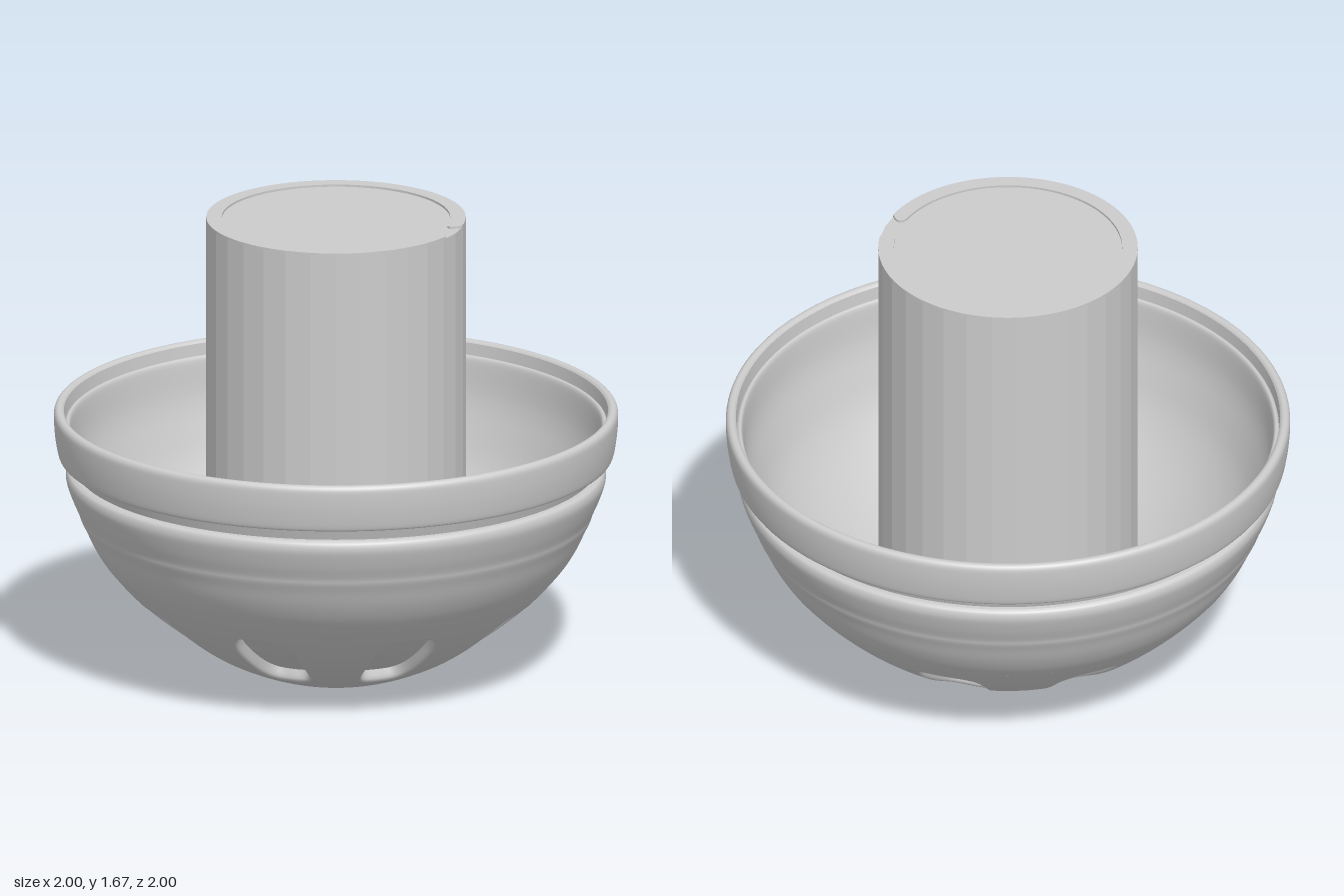
import * as THREE from 'three';

const SEG = 128;   // segments around the turned parts
const SLOTS = 8;   // recesses around the bowl
const R_IN = 0.3, R_OUT = 0.78; // band of the bowl that holds the recesses

const material = new THREE.MeshStandardMaterial({ color: 0xcccccc, roughness: 0.7 });
const faceted = new THREE.MeshStandardMaterial({ color: 0xcccccc, roughness: 0.7, flatShading: true });

// Height and slope of the lower bowl at radius r
const bowlY = r => 0.62 * r * r + 0.1 * r ** 6 - 0.03;
const bowlSlope = r => 1.24 * r + 0.6 * r ** 5;

function add(parent, name, geometry, mat = material) {
  const mesh = new THREE.Mesh(geometry, mat);
  mesh.name = name;
  parent.add(mesh);
  return mesh;
}

// Turned part from [radius, height] pairs; samples > 0 smooths the profile
function turned(parent, name, pairs, samples = 0) {
  let pts = pairs.map(([r, y]) => new THREE.Vector2(r, y));
  if (samples) pts = new THREE.SplineCurve(pts).getPoints(samples);
  return add(parent, name, new THREE.LatheGeometry(pts, SEG));
}

// Point on the bowl, sunk by depth along the surface normal
function bowlPoint(theta, r, depth) {
  const s = bowlSlope(r), len = Math.hypot(s, 1);
  const rr = r - depth * s / len;
  return [rr * Math.sin(theta), bowlY(r) + depth / len, rr * Math.cos(theta)];
}

// Tapered rounded outline of a recess, as [theta, r]
function slotOutline(phi, scale) {
  const c = Math.cos(phi), s = Math.sin(phi);
  const k = scale / Math.pow(c ** 4 + s ** 4, 0.25);
  const r = 0.555 + 0.155 * s * k;
  const halfWidth = 0.106 + 0.022 * s * k;
  return [c * k * halfWidth / r, r];
}

// Edge of one bowl sector, as [theta, r]
function sectorEdge(phi) {
  const c = Math.cos(phi), s = Math.sin(phi);
  const m = Math.max(Math.abs(c), Math.abs(s));
  return [c / m * Math.PI / SLOTS, (R_IN + R_OUT) / 2 + s / m * (R_OUT - R_IN) / 2];
}

// Surface through concentric rings; each ring is [outline scale, blend to sector edge, depth]
function ringSurface(rings, n = 64) {
  const pos = [], index = [];
  rings.forEach(([scale, blend, depth], i) => {
    for (let j = 0; j < n; j++) {
      const phi = j / n * Math.PI * 2;
      const a = slotOutline(phi, scale), b = sectorEdge(phi);
      const theta = a[0] + (b[0] - a[0]) * blend, r = a[1] + (b[1] - a[1]) * blend;
      pos.push(...bowlPoint(theta, r, depth));
      if (i === rings.length - 1) continue;
      const k = (j + 1) % n, p = i * n, q = p + n;
      index.push(p + j, q + j, q + k, p + j, q + k, p + k);
    }
  });
  const g = new THREE.BufferGeometry();
  g.setAttribute('position', new THREE.Float32BufferAttribute(pos, 3));
  g.setIndex(index);
  g.computeVertexNormals();
  // True bowl normals on the undented rings keep the sectors seamless
  const normal = g.attributes.normal;
  rings.forEach(([, , depth], i) => {
    if (depth !== 0) return;
    for (let v = i * n; v < (i + 1) * n; v++) {
      const x = pos[v * 3], z = pos[v * 3 + 2], r = Math.hypot(x, z);
      const s = bowlSlope(r), len = Math.hypot(s, 1);
      normal.setXYZ(v, x / r * s / len, -1 / len, z / r * s / len);
    }
  });
  return g;
}

export function createModel() {
  const model = new THREE.Group();
  model.name = 'bowlWithPost';

  // Underside: slightly sunk disc with a rounded lip
  const bowl = new THREE.Group();
  bowl.name = 'bowl';
  model.add(bowl);
  turned(bowl, 'baseDisc', [[0, 0.025], [0.2, 0.025]]);
  turned(bowl, 'baseLip', [[0.2, 0.025], [0.201, 0.008], [0.207, 0.002], [0.22, 0.0005],
    ...[0.235, 0.255, 0.28, R_IN].map(r => [r, bowlY(r)])]);

  // Lower band with recesses
  const depth = 0.042;
  const floor = ringSurface([[0, 0, depth], [0.4, 0, depth], [0.75, 0, depth], [0.95, 0, depth]]);
  const surround = ringSurface([[0.95, 0, depth], [0.97, 0, 0.022], [0.99, 0, 0.01], [1.02, 0, 0.003],
    [1.07, 0, 0], [1.07, 0.2, 0], [1.07, 0.4, 0], [1.07, 0.6, 0], [1.07, 0.8, 0], [1.07, 1, 0]]);
  for (let i = 0; i < SLOTS; i++) {
    const angle = i / SLOTS * Math.PI * 2;
    add(bowl, 'recessFloor', floor).rotation.y = angle;
    add(bowl, 'recessSurround', surround).rotation.y = angle;
  }

  // Upper wall with a soft ridge, then the groove under the rim
  turned(bowl, 'upperWall', [[R_OUT, bowlY(R_OUT)], [0.825, 0.425], [0.862, 0.485], [0.89, 0.545],
    [0.907, 0.58], [0.915, 0.605], [0.935, 0.65], [0.953, 0.7], [0.957, 0.725], [0.952, 0.745], [0.94, 0.754]], 50);
  turned(bowl, 'wallTop', [[0.94, 0.754], [0.925, 0.755]]);
  turned(bowl, 'groove', [[0.925, 0.755], [0.94, 0.8]]);

  // Rim band and inner ledge
  turned(bowl, 'rimUnderside', [[0.94, 0.8], [0.974, 0.8]]);
  turned(bowl, 'rim', [[0.974, 0.8], [0.983, 0.806], [0.99, 0.835], [0.997, 0.885], [1, 0.935],
    [0.998, 0.958], [0.988, 0.97], [0.973, 0.97], [0.964, 0.962]], 32);
  turned(bowl, 'rimInnerWall', [[0.964, 0.962], [0.96, 0.915]]);
  turned(bowl, 'innerLedge', [[0.96, 0.915], [0.953, 0.921], [0.945, 0.918], [0.94, 0.905], [0.937, 0.88]], 12);

  // Inside of the bowl
  turned(bowl, 'innerWall', [[0.937, 0.88], [0.925, 0.78], [0.895, 0.68], [0.84, 0.55], [0.75, 0.425],
    [0.62, 0.3], [0.46, 0.185], [0.3, 0.11], [0.15, 0.08], [0, 0.075]], 48);

  // Post with faceted sides
  const post = new THREE.Group();
  post.name = 'post';
  model.add(post);
  const bottom = 0.165, top = 1.667, radius = 0.46, lip = 0.008;
  const shaft = new THREE.CylinderGeometry(radius, radius, top - bottom, 32);
  shaft.translate(0, (top + bottom) / 2, 0);
  add(post, 'shaft', shaft, faceted);

  // Thin raised edge on top, open at a flared notch toward front left
  const ring = new THREE.Shape();
  const mid = -Math.PI / 4, outerGap = 0.16, innerGap = 0.2, innerR = 0.405;
  const at = (r, a) => [r * Math.cos(a), r * Math.sin(a)];
  ring.absarc(0, 0, radius, mid + outerGap, mid - outerGap + Math.PI * 2, false);
  ring.quadraticCurveTo(...at(0.43, mid - 0.08), ...at(0.415, mid - 0.11));
  ring.quadraticCurveTo(...at(innerR, mid - 0.14), ...at(innerR, mid - innerGap));
  ring.absarc(0, 0, innerR, mid - innerGap + Math.PI * 2, mid + innerGap, true);
  ring.quadraticCurveTo(...at(innerR, mid + 0.14), ...at(0.415, mid + 0.11));
  ring.quadraticCurveTo(...at(0.43, mid + 0.08), ...at(radius, mid + outerGap));
  const edge = new THREE.ExtrudeGeometry(ring, { depth: lip, bevelEnabled: false, curveSegments: 48 });
  edge.rotateX(-Math.PI / 2);
  edge.translate(0, top, 0);
  add(post, 'topEdge', edge);

  return model;
}
